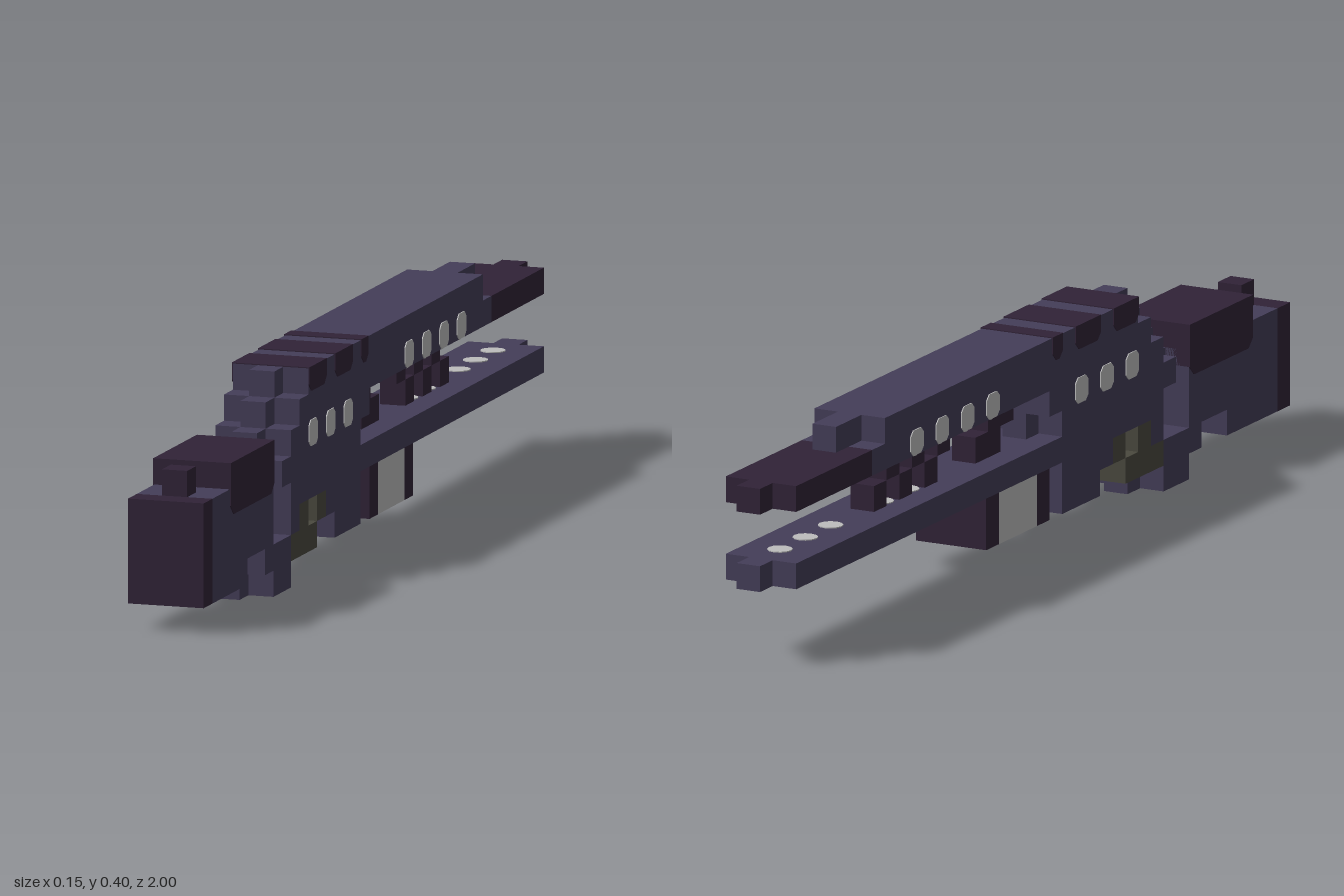
import * as THREE from 'three';

const mat = (name, color) => Object.assign(new THREE.MeshStandardMaterial({ color }), { name });
const W = 0.15; // full body width
const C = 0.05; // width of the middle row

export function createModel() {
  const model = new THREE.Group();
  model.name = 'blockyRifle';
  const purple = mat('slate purple', 0x443d58);
  const dark = mat('dark plum', 0x302337);
  const grey = mat('light grey', 0xbdbdbd);
  const olive = mat('dark olive', 0x4a493f);

  function add(name, geometry, material) {
    const mesh = new THREE.Mesh(geometry, material);
    mesh.name = name;
    model.add(mesh);
    return mesh;
  }

  // Box given by its z range, y range and width, centred on x
  function block(name, material, z0, z1, y0, y1, width = W) {
    const g = new THREE.BoxGeometry(width, y1 - y0, Math.abs(z1 - z0));
    g.translate(0, (y0 + y1) / 2, (z0 + z1) / 2);
    return add(name, g, material);
  }

  // Side profile with clipped lower (and optionally upper) corners, run across the width
  function inlay(name, material, z0, z1, y0, y1, cut, topCut = 0, width = W + 0.004) {
    const s = new THREE.Shape([
      [z0 + cut, y0], [z1 - cut, y0], [z1, y0 + cut], [z1, y1 - topCut],
      [z1 - topCut, y1], [z0 + topCut, y1], [z0, y1 - topCut], [z0, y0 + cut],
    ].map(([z, y]) => new THREE.Vector2(z, y)));
    const g = new THREE.ExtrudeGeometry(s, { depth: width, bevelEnabled: false });
    g.translate(0, 0, -width / 2);
    g.rotateY(-Math.PI / 2);
    return add(name, g, material);
  }

  function spot(name, x, y, z, height) {
    const g = new THREE.CylinderGeometry(0.024, 0.024, height, 12);
    g.translate(x, y, z);
    add(name, g, grey);
  }

  // Stock with end cap, bead and cheek rest
  block('buttCap', dark, 0.95, 1, 0.05, 0.25);
  block('stockBody', purple, 0.6, 0.95, 0.1, 0.25);
  block('stockLower', purple, 0.75, 0.95, 0.05, 0.1);
  block('stockBead', dark, 0.9, 0.95, 0.25, 0.3, C);
  inlay('cheekRest', dark, 0.6, 0.85, 0.2, 0.3, 0.018);

  // Grip under the opening
  block('gripBridge', purple, 0.5, 0.65, 0.05, 0.1);
  block('gripNub', purple, 0.65, 0.7, 0.05, 0.1, C);
  block('gripBase', purple, 0.5, 0.6, 0, 0.05);
  block('gripBaseMiddle', purple, 0.45, 0.65, 0, 0.05, C);

  // Stepped front of the receiver, middle row one step ahead
  for (let i = 0; i < 4; i++) {
    const z = 0.55 - i * 0.05, y = 0.2 + i * 0.05;
    block('receiverStep', purple, 0.1, z, y, y + 0.05);
    block('receiverStepMiddle', purple, z, z + 0.05, y, y + 0.05, C);
  }
  block('receiverLower', purple, 0.1, 0.5, 0.15, 0.2);
  block('receiverEnd', purple, 0.05, 0.1, 0.25, 0.3);
  block('receiverEndMiddle', purple, 0.05, 0.1, 0.2, 0.25, C);
  block('magazineWell', purple, 0.1, 0.25, 0.05, 0.15);
  block('magazineStep', purple, 0.25, 0.3, 0.1, 0.15);
  block('guardPost', purple, 0.45, 0.5, 0.1, 0.15);

  // Trigger group
  block('triggerGuard', olive, 0.35, 0.5, 0.05, 0.1);
  block('trigger', olive, 0.4, 0.45, 0.1, 0.15);
  block('triggerGuardEnd', olive, 0.3, 0.35, 0.1, 0.15);

  // Upper rail and barrel
  block('upperRail', purple, -0.65, 0.1, 0.3, 0.35);
  block('upperRailTop', purple, -0.6, 0.1, 0.35, 0.4);
  block('railTip', purple, -0.7, -0.6, 0.35, 0.4, C);
  block('barrel', dark, -0.95, -0.65, 0.3, 0.35);
  block('barrelTip', dark, -1, -0.95, 0.3, 0.35, C);

  // Lower rail
  block('lowerRail', purple, -0.95, 0.1, 0.15, 0.2);
  block('lowerRailTip', purple, -1, -0.95, 0.15, 0.2, C);

  // Dark bands over the top
  for (const [z0, z1] of [[0.3, 0.4], [0.15, 0.25], [0.06, 0.1]]) {
    inlay('topBand', dark, z0, z1, 0.355, 0.402, 0.014);
  }

  // Side windows
  for (const z of [0.375, 0.275, 0.175]) {
    inlay('receiverWindow', grey, z - 0.025, z + 0.025, 0.25, 0.3, 0.01, 0.01);
  }
  for (const z of [-0.175, -0.275, -0.375, -0.475]) {
    inlay('railWindow', grey, z - 0.025, z + 0.025, 0.301, 0.35, 0.01, 0.01);
    for (const x of [-0.05, 0, 0.05]) spot('railUndersideSpot', x, 0.301, z, 0.006);
  }

  // Round spots through the lower rail
  for (const z of [-0.375, -0.475, -0.675, -0.775, -0.875]) {
    spot('lowerRailSpot', 0, 0.175, z, 0.054);
  }

  // Inner dark links between the rails
  block('innerLinkUpper', dark, -0.1, 0, 0.25, 0.3, C);
  block('innerLinkLower', dark, -0.15, -0.05, 0.2, 0.25, C);
  for (let i = 0; i < 6; i++) {
    const z = -0.25 - i * 0.05, y = i % 2 ? 0.2 : 0.25;
    block('coilLink', dark, z - 0.05, z, y, y + 0.05, C);
  }

  // Power cell under the lower rail
  block('cellFrontCap', dark, 0, 0.05, 0.05, 0.15);
  block('cellCore', grey, -0.15, 0, 0.05, 0.15);
  block('cellBackCap', dark, -0.2, -0.15, 0.05, 0.15);

  return model;
}
